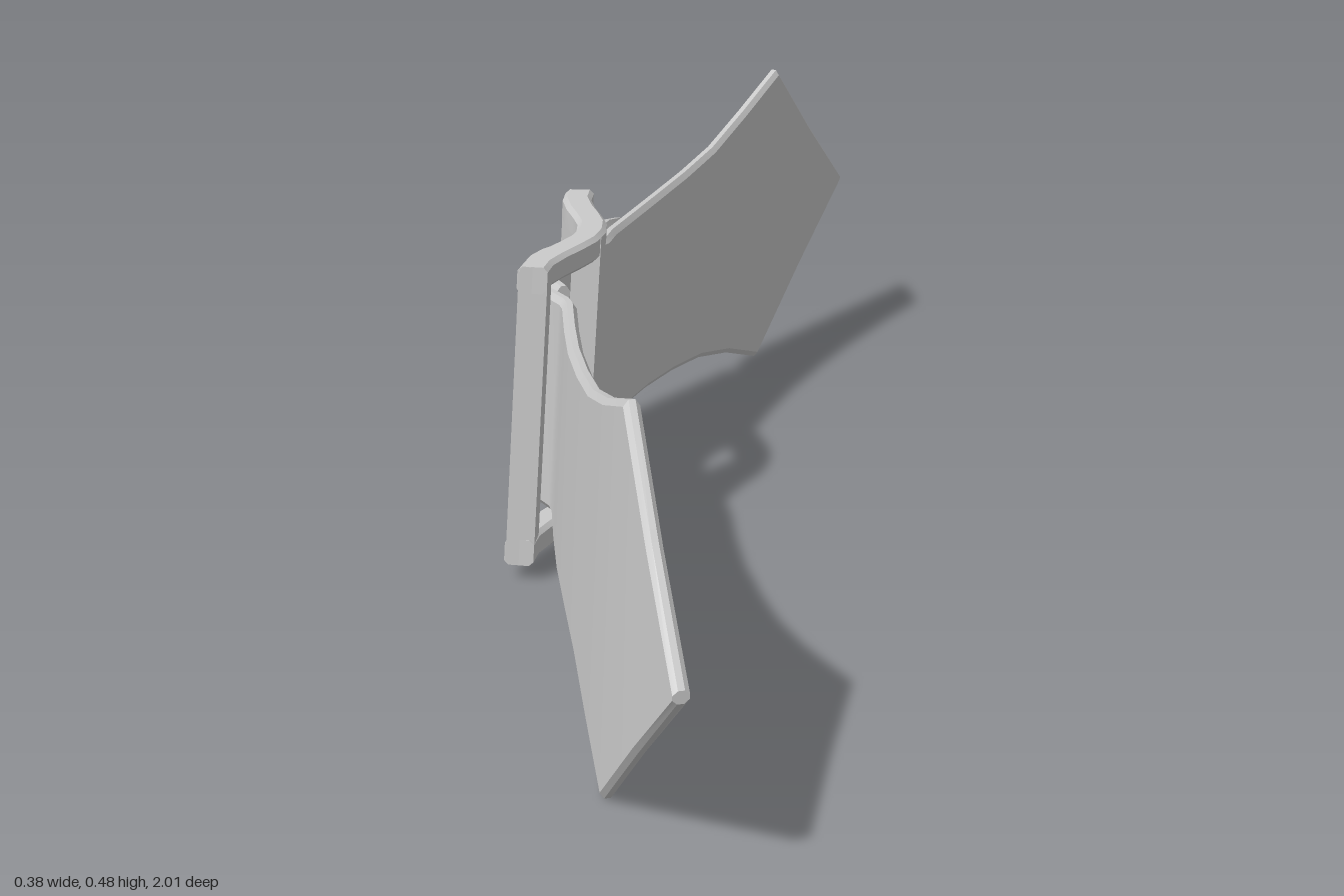
import * as THREE from 'three';
import { toCreasedNormals } from 'three/addons/utils/BufferGeometryUtils.js';

const LEAN = 0.06; // sideways lean per unit of height
const MID = 0.245;

// Sweep a bevelled upright band through stations [z, x, bottom, top, topShift].
function band(name, stations, thick, bevel, material) {
  const h = thick / 2, pos = [], index = [], n = 8;
  stations.forEach(([z, x, lo, hi, shift = 0], i) => {
    const p = stations[Math.max(i - 1, 0)], q = stations[Math.min(i + 1, stations.length - 1)];
    const len = Math.hypot(q[0] - p[0], q[1] - p[1]);
    const ux = (q[0] - p[0]) / len, uz = -(q[1] - p[1]) / len;
    const b = Math.min(bevel, (hi - lo) / 3), c = Math.min(bevel, h * 0.6);
    const ring = [
      [h, lo + b], [h, hi - b], [h - c, hi], [c - h, hi],
      [-h, hi - b], [-h, lo + b], [c - h, lo], [h - c, lo],
    ];
    for (const [u, y] of ring) {
      pos.push(x + u * ux + LEAN * (y - MID), y, z + u * uz + shift * (y - lo) / (hi - lo));
    }
  });
  const last = (stations.length - 1) * n;
  for (let i = 0; i < last; i += n) {
    for (let j = 0; j < n; j++) {
      const k = (j + 1) % n;
      index.push(i + j, i + k, i + n + k, i + j, i + n + k, i + n + j);
    }
  }
  for (let j = 1; j < n - 1; j++) {
    index.push(0, j + 1, j, last, last + j, last + j + 1);
  }
  const geo = new THREE.BufferGeometry();
  geo.setAttribute('position', new THREE.Float32BufferAttribute(pos, 3));
  geo.setIndex(index);
  const mesh = new THREE.Mesh(toCreasedNormals(geo, 0.55), material);
  mesh.name = name;
  return mesh;
}

export function createModel() {
  const group = new THREE.Group();
  group.name = 'beltWithBuckle';
  const mat = new THREE.MeshStandardMaterial({ color: 0xcccccc });
  const lo = 0.093, hi = 0.39;

  // Flared, pointed wing shared by both straps, from the tip inwards
  const wing = [
    [1, 0.178, 0.24, 0.255], [0.885, 0.128, 0.122, 0.368], [0.77, 0.08, 0.003, 0.483],
    [0.66, 0.043, 0.045, 0.443], [0.55, 0.01, 0.073, 0.412], [0.45, -0.019, 0.085, 0.399],
    [0.35, -0.046, 0.091, 0.392], [0.26, -0.066, lo, hi], [0.17, -0.084, lo, hi],
  ];
  const arch = (points) => points.map(([z, x]) => [z, x, lo, hi]);

  // Front strap arches over the middle bar and ends in a drooping loose end
  group.add(band('frontStrap', [
    ...wing,
    ...arch([[0.15, -0.092], [0.1, -0.131], [0.06, -0.157], [0.03, -0.167], [0, -0.17],
      [-0.03, -0.167], [-0.06, -0.157], [-0.1, -0.131], [-0.14, -0.108]]),
    [-0.18, -0.102, 0.09, 0.388, -0.01],
    [-0.24, -0.102, 0.072, 0.375, -0.025],
    [-0.33, -0.102, 0.04, 0.346, -0.045],
    [-0.41, -0.102, 0.01, 0.312, -0.065],
  ], 0.019, 0.008, mat));

  // Rear strap tucks between the middle bar and the front strap
  group.add(band('rearStrap', [
    ...wing.map(([z, ...rest]) => [-z, ...rest]),
    ...arch([[-0.13, -0.087], [-0.1, -0.102], [-0.06, -0.128], [-0.03, -0.139], [0, -0.142],
      [0.03, -0.139], [0.06, -0.128], [0.1, -0.104]]),
  ], 0.019, 0.008, mat));

  // Buckle: two bent rails joined by three upright bars
  const buckle = new THREE.Group();
  buckle.name = 'buckle';
  const half = [[0.185, -0.132], [0.15, -0.13], [0.11, -0.118], [0.07, -0.102], [0.035, -0.09]];
  const bend = [...half, [0, -0.086], ...half.map(([z, x]) => [-z, x]).reverse()];
  for (const [name, y0, y1] of [['lowerRail', 0.025, 0.062], ['upperRail', 0.405, 0.441]]) {
    buckle.add(band(name, bend.map(([z, x]) => [z, x, y0, y1]), 0.04, 0.006, mat));
  }
  for (const [name, z, x, w] of [
    ['frontBar', 0.169, -0.131, 0.032], ['middleBar', 0.008, -0.087, 0.036], ['rearBar', -0.169, -0.131, 0.032],
  ]) {
    buckle.add(band(name, [[z + w / 2, x, 0.026, 0.44], [z - w / 2, x, 0.026, 0.44]], 0.038, 0.006, mat));
  }
  group.add(buckle);
  return group;
}
